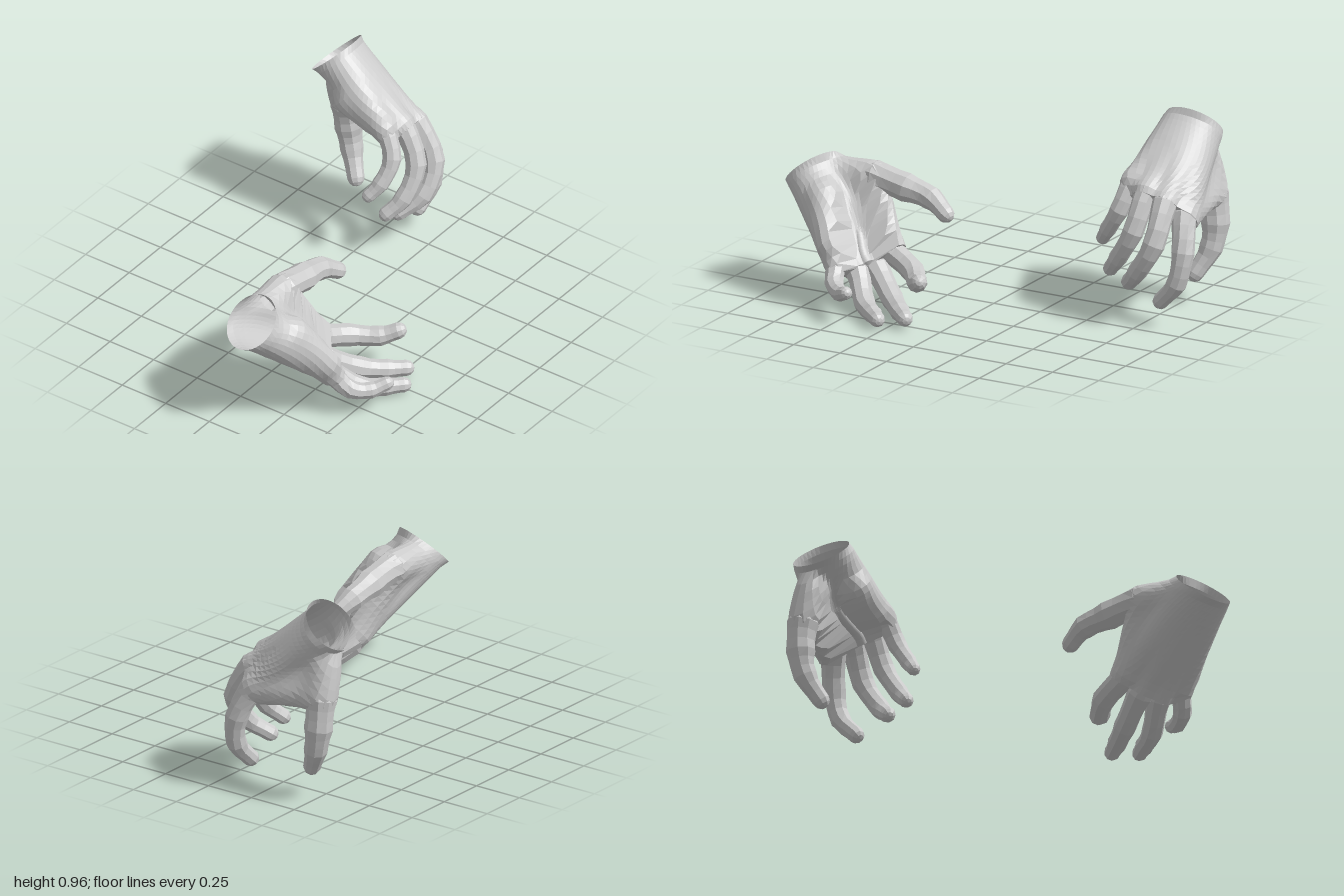
import * as THREE from 'three';

const V = (a) => new THREE.Vector3(...a);
const mix = (a, b, t) => a.clone().lerp(b, t);
const skin = new THREE.MeshStandardMaterial({ color: 0xcccccc, flatShading: true, side: THREE.DoubleSide });

function mesh(name, geometry) {
  const m = new THREE.Mesh(geometry, skin);
  m.name = name;
  return m;
}

// Skin a list of point rings; the far end closes on a pole
function loft(rings, pole) {
  const sides = rings[0].length, last = rings.length - 1, index = [];
  for (let i = 0; i <= last; i++) {
    for (let j = 0; j < sides; j++) {
      const a = i * sides + j, b = i * sides + (j + 1) % sides;
      if (i < last) index.push(a, b, b + sides, a, b + sides, a + sides);
      else index.push(a, b, rings.length * sides);
    }
  }
  const g = new THREE.BufferGeometry().setFromPoints([...rings.flat(), pole]);
  g.setIndex(index);
  g.computeVertexNormals();
  return g;
}

// Ring round c across direction f; radius(ray) gives the reach along each ray
function ring(c, f, side, sides, radius) {
  const dir = f.clone().normalize();
  const u = side.clone().addScaledVector(dir, -side.dot(dir)).normalize();
  const v = dir.clone().cross(u);
  return Array.from({ length: sides }, (_, j) => {
    const a = (j / sides) * Math.PI * 2;
    const ray = u.clone().multiplyScalar(Math.cos(a)).addScaledVector(v, Math.sin(a));
    return c.clone().addScaledVector(ray, radius(ray));
  });
}

// Tapered digit with swollen joints and a rounded tip
function digit(points, radii, side) {
  const curve = new THREE.CatmullRomCurve3(points);
  const spans = points.length - 1, steps = spans * 3, rings = [];
  for (let i = 0; i <= steps; i++) {
    const t = i / steps, k = Math.min(Math.floor(t * spans), spans - 1);
    const r = THREE.MathUtils.lerp(radii[k], radii[k + 1], t * spans - k)
      * (0.97 + 0.05 * Math.cos(t * spans * Math.PI * 2));
    rings.push(ring(curve.getPoint(t), curve.getTangent(t), side, 9, () => r));
  }
  const tip = points[spans], dir = curve.getTangent(1), r = radii[spans];
  for (const a of [0.55, 1.05]) {
    const c = tip.clone().addScaledVector(dir, r * Math.sin(a));
    rings.push(ring(c, dir, side, 9, () => r * Math.cos(a)));
  }
  return loft(rings, tip.clone().addScaledVector(dir, r));
}

// Softly blended distance to a set of tapered bones [from, to, radius, radius]
function distance(p, bones) {
  const blend = 0.016;
  let sum = 0;
  for (const [a, b, ra, rb] of bones) {
    const ab = b.clone().sub(a), ap = p.clone().sub(a);
    const t = THREE.MathUtils.clamp(ap.dot(ab) / ab.lengthSq(), 0, 1);
    sum += Math.exp(-(ap.addScaledVector(ab, -t).length() - ra - (rb - ra) * t) / blend);
  }
  return -blend * Math.log(sum + 1e-30);
}

// Palm, thumb web and heel as one skin drawn over the bones, open at the wrist
function palm({ wrist, wristDir, wristSide, knuckles, side, hollow, bones }) {
  const forward = knuckles.clone().sub(wrist).normalize();
  const rings = [], stations = 17, wristRadius = 0.14;
  for (let i = 0; i < stations; i++) {
    const t = (i / (stations - 1)) * 1.1, k = Math.min(t * 1.3, 1);
    // Rays start nearer the hollow and the thumb, where the palm folds
    const c = mix(wrist, knuckles, t).addScaledVector(hollow, Math.sin(Math.min(t, 1) * Math.PI));
    rings.push(ring(c, mix(wristDir, forward, k), mix(wristSide, side, k), 40, (ray) => {
      if (i === 0) return wristRadius;
      let s = wristRadius + Math.min(t * 0.9, 0.3);
      for (let n = 0; n < 50 && s > 0.03; n++) {
        const d = distance(c.clone().addScaledVector(ray, s), bones);
        if (d < 0.001) break;
        s -= d * 0.9;
      }
      return Math.max(s, 0.03);
    }));
  }
  return loft(rings, mix(wrist, knuckles, 1.12));
}

function createHand(name, h) {
  const hand = new THREE.Group();
  hand.name = name;
  const wrist = V(h.wrist), wristSide = V(h.wristSide);
  const fingers = Object.entries(h.fingers).map(([n, p]) => [n, p.map(V)]);
  const thumb = h.thumb.map(V);
  const index = fingers[0][1], little = fingers[3][1];
  const knuckles = mix(index[0], little[0], 0.5);
  const side = little[0].clone().sub(index[0]).normalize();
  const hollow = thumb[1].clone().sub(mix(wrist, knuckles, 0.4)).setLength(0.06);

  // Bones of the palm, and a fan of them filling the thumb web
  const bones = h.heel.map(([a, b, ra, rb]) => [V(a), V(b), ra, rb]);
  fingers.forEach(([, p], i) => {
    const start = wrist.clone().addScaledVector(wristSide, (i - 1.5) * 0.025);
    bones.push([start, p[0], 0.104, 0.049], [p[0], mix(p[0], p[1], 0.3), 0.046, 0.04]);
  });
  bones.push([thumb[0], thumb[1], 0.066, 0.064]);
  for (let s = 0; s <= 1; s += 0.25) {
    bones.push([mix(thumb[0], thumb[1], s), mix(wrist, index[0], 0.35 + 0.65 * s), 0.052, 0.047]);
  }
  bones.push([mix(thumb[0], thumb[1], 0.9), mix(index[0], index[1], 0.3), 0.044, 0.044]);
  hand.add(mesh('palm', palm({ wrist, wristDir: V(h.wristDir), wristSide, knuckles, side, hollow, bones })));

  // Fingers start inside the palm so the knuckles blend in
  const size = { indexFinger: 1.1, middleFinger: 1.06, ringFinger: 1, littleFinger: 0.9 };
  for (const [n, joints] of fingers) {
    const radii = [0.045, 0.058, 0.05, 0.044, 0.036].map((r) => r * size[n]);
    hand.add(mesh(n, digit([mix(joints[0], wrist, 0.2), ...joints], radii, side)));
  }
  const thumbRoot = mix(thumb[0], thumb[1], 0.4);
  hand.add(mesh('thumb', digit([thumbRoot, ...thumb.slice(1)], [0.06, 0.075, 0.069, 0.056, 0.041], side)));
  return hand;
}

export function createModel() {
  const model = new THREE.Group();
  model.name = 'pairOfHands';

  // Left hand, palm turned up
  model.add(createHand('leftHand', {
    wrist: [-0.885, 0.575, 0.16], wristDir: [0.65, -0.72, 0.23], wristSide: [-0.42, -0.1, 0.9],
    fingers: {
      indexFinger: [[-0.44, 0.26, 0.21], [-0.28, 0.2, 0.275], [-0.185, 0.19, 0.395], [-0.135, 0.22, 0.465]],
      middleFinger: [[-0.47, 0.18, 0.28], [-0.33, 0.085, 0.38], [-0.235, 0.06, 0.47], [-0.17, 0.055, 0.535]],
      ringFinger: [[-0.53, 0.17, 0.35], [-0.43, 0.065, 0.46], [-0.34, 0.05, 0.54], [-0.28, 0.05, 0.6]],
      littleFinger: [[-0.61, 0.23, 0.42], [-0.57, 0.15, 0.5], [-0.5, 0.135, 0.57], [-0.44, 0.16, 0.62]],
    },
    thumb: [[-0.75, 0.56, 0.125], [-0.57, 0.57, 0.115], [-0.4, 0.54, 0.115], [-0.27, 0.51, 0.115], [-0.175, 0.455, 0.145]],
    heel: [[[-0.75, 0.485, 0.295], [-0.64, 0.31, 0.42], 0.085, 0.062]],
  }));

  // Right hand, palm turned down
  model.add(createHand('rightHand', {
    wrist: [0.77, 0.87, -0.542], wristDir: [0, -0.72, 0.7], wristSide: [-0.95, 0.22, 0.22],
    fingers: {
      indexFinger: [[0.91, 0.53, -0.2], [0.945, 0.37, -0.125], [0.92, 0.22, -0.105], [0.83, 0.12, -0.12]],
      middleFinger: [[0.84, 0.595, -0.14], [0.84, 0.42, -0.035], [0.75, 0.27, -0.035], [0.665, 0.19, -0.11]],
      ringFinger: [[0.74, 0.635, -0.145], [0.72, 0.46, -0.05], [0.63, 0.31, -0.06], [0.565, 0.24, -0.11]],
      littleFinger: [[0.645, 0.66, -0.18], [0.61, 0.53, -0.11], [0.54, 0.42, -0.125], [0.495, 0.365, -0.16]],
    },
    thumb: [[0.82, 0.69, -0.55], [0.86, 0.53, -0.555], [0.875, 0.39, -0.55], [0.865, 0.27, -0.525], [0.815, 0.155, -0.465]],
    heel: [[[0.67, 0.72, -0.39], [0.66, 0.65, -0.25], 0.078, 0.055]],
  }));
  return model;
}
